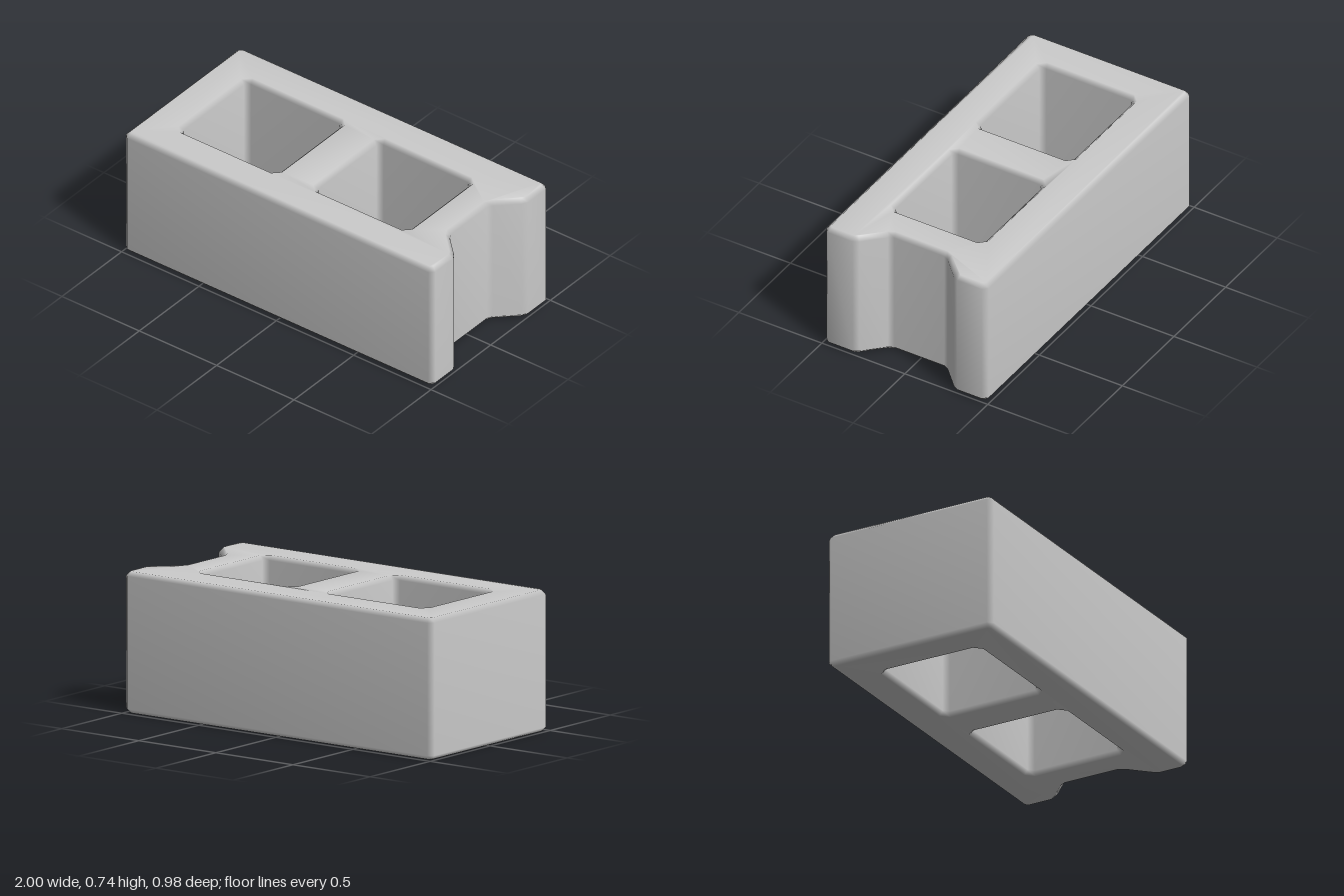
import * as THREE from 'three';
import { mergeVertices } from 'three/addons/utils/BufferGeometryUtils.js';

const HEIGHT = 0.74;
const BEVEL = 0.023;
const CHAMFER = 0.027;

// Plan outlines are given as [x, z]; extrusion later turns shape y into -z
const toPoints = (list) => list.map(([x, z]) => new THREE.Vector2(x, -z));

// Rectangle in plan with small chamfered corners
function chamferedRect(x0, x1, z0, z1, c) {
  return toPoints([
    [x0 + c, z0], [x1 - c, z0], [x1, z0 + c], [x1, z1 - c],
    [x1 - c, z1], [x0 + c, z1], [x0, z1 - c], [x0, z0 + c],
  ]);
}

export function createModel() {
  const model = new THREE.Group();
  model.name = 'hollowBlock';

  // Outline: flat left end, mortar notch in the right end
  const c = CHAMFER;
  const end = [
    [-1, 0.49 - c], [-1 + c, 0.49], [1 - c, 0.49], [1, 0.49 - c],
    [1, 0.315], [0.983, 0.285], [0.875, 0.18], [0.86, 0.15],
  ];
  const mirrored = end.map(([x, z]) => [x, -z]).reverse();
  const shape = new THREE.Shape(toPoints([...end, ...mirrored]));

  // Two square cores running right through
  shape.holes.push(
    new THREE.Path(chamferedRect(-0.787, -0.165, -0.275, 0.285, c)),
    new THREE.Path(chamferedRect(0.077, 0.673, -0.265, 0.277, c)),
  );

  let geometry = new THREE.ExtrudeGeometry(shape, {
    depth: HEIGHT - 2 * BEVEL,
    bevelEnabled: true,
    bevelSegments: 1,
    bevelSize: BEVEL,
    bevelThickness: BEVEL,
    bevelOffset: -BEVEL,
  });
  geometry.rotateX(-Math.PI / 2);
  geometry.translate(0, BEVEL, 0);

  // Weld, then area-weighted normals: flat faces with softly shaded bevels
  geometry.deleteAttribute('normal');
  geometry.deleteAttribute('uv');
  geometry.clearGroups();
  geometry = mergeVertices(geometry, 1e-4);
  geometry.computeVertexNormals();

  const block = new THREE.Mesh(
    geometry,
    new THREE.MeshStandardMaterial({ color: 0xcccccc }),
  );
  block.name = 'blockBody';
  model.add(block);
  return model;
}
